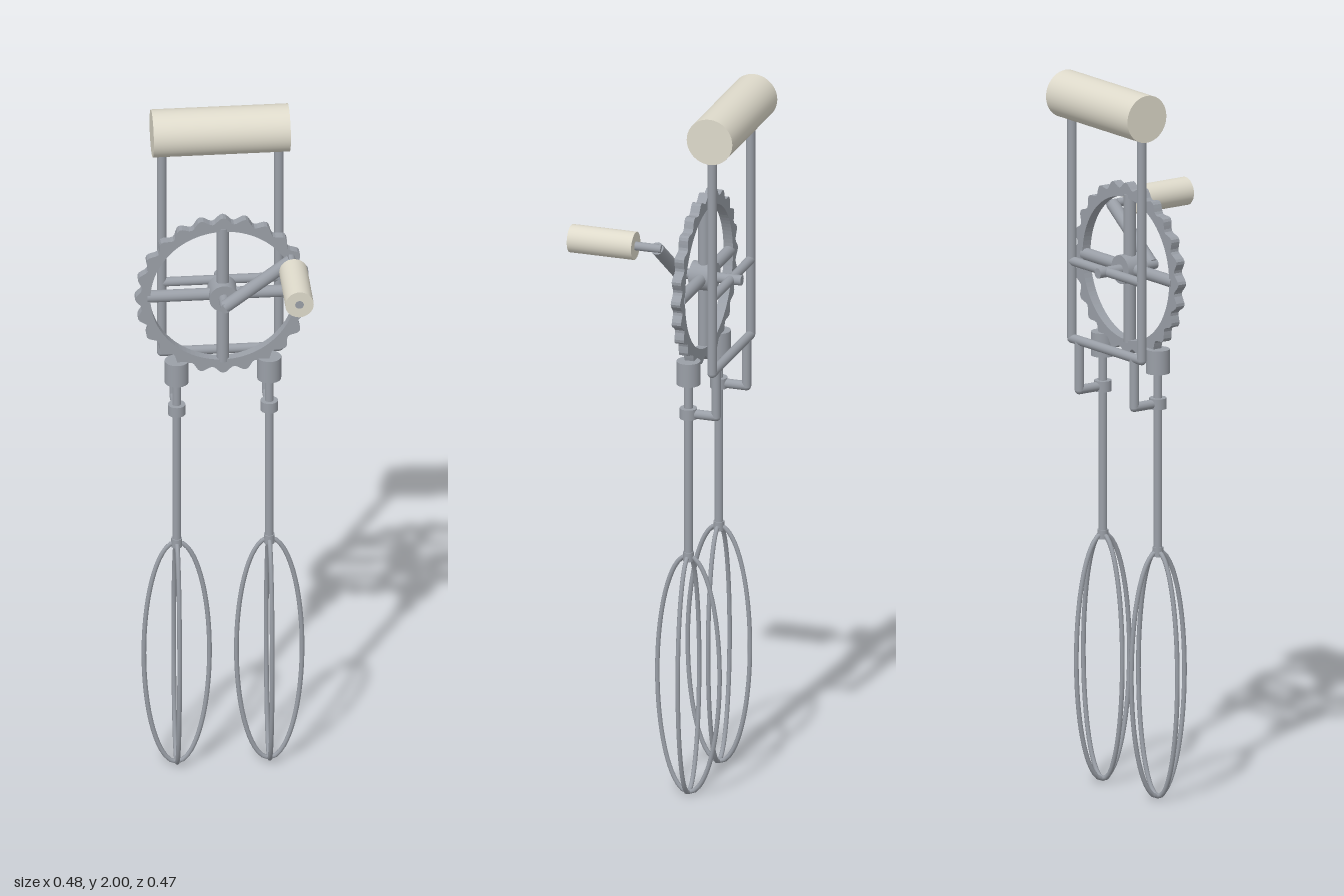
import * as THREE from 'three';

const steel = new THREE.MeshStandardMaterial({ color: 0x9a9fa7 });
steel.name = 'steel';
const cream = new THREE.MeshStandardMaterial({ color: 0xdedacb });
cream.name = 'cream grip';

const FRAME_Z = -0.167, GEAR_Z = -0.089, HUB_Y = 1.468, BEATER_X = 0.127;

// Ellipse in the XY plane, used as the path of a wire loop
class EllipsePath extends THREE.Curve {
  constructor(rx, ry) { super(); this.rx = rx; this.ry = ry; }
  getPoint(t, out = new THREE.Vector3()) {
    const a = t * Math.PI * 2;
    return out.set(this.rx * Math.cos(a), this.ry * Math.sin(a), 0);
  }
}

function add(parent, name, geometry, material = steel) {
  const mesh = new THREE.Mesh(geometry, material);
  mesh.name = name;
  parent.add(mesh);
  return mesh;
}

// Cylinder running from point a to point b
function rod(parent, name, a, b, radius, material = steel, sides = 16) {
  const from = new THREE.Vector3(...a), to = new THREE.Vector3(...b);
  const dir = to.clone().sub(from);
  const mesh = add(parent, name, new THREE.CylinderGeometry(radius, radius, dir.length(), sides), material);
  mesh.position.copy(from).add(to).multiplyScalar(0.5);
  mesh.quaternion.setFromUnitVectors(new THREE.Vector3(0, 1, 0), dir.normalize());
  return mesh;
}

function ball(parent, name, p, radius) {
  add(parent, name, new THREE.SphereGeometry(radius, 16, 10)).position.set(...p);
}

// Scalloped ring with a cross of spokes and a hub
function makeGear() {
  const gear = new THREE.Group();
  gear.name = 'gearWheel';
  gear.position.set(0, HUB_Y, GEAR_Z);
  const teeth = 24, steps = teeth * 8, outline = [];
  for (let i = 0; i < steps; i++) {
    const a = (i / steps) * Math.PI * 2;
    const r = 0.233 + 0.009 * Math.cos(a * teeth);
    outline.push(new THREE.Vector2(r * Math.cos(a), r * Math.sin(a)));
  }
  const shape = new THREE.Shape(outline);
  shape.holes.push(new THREE.Path().absarc(0, 0, 0.2, 0, Math.PI * 2, true));
  const rim = new THREE.ExtrudeGeometry(shape, { depth: 0.027, bevelEnabled: false, curveSegments: 48 });
  rim.translate(0, 0, -0.0135);
  add(gear, 'gearRim', rim);
  rod(gear, 'spokeAcross', [-0.208, 0, 0], [0.208, 0, 0], 0.017);
  rod(gear, 'spokeUpright', [0, -0.208, 0], [0, 0.208, 0], 0.017);
  rod(gear, 'hub', [0, 0, -0.033], [0, 0, 0.033], 0.04, steel, 24);
  return gear;
}

// Shaft with pinion, collar and two crossed wire loops
function makeBeater(side) {
  const beater = new THREE.Group();
  beater.name = side > 0 ? 'leftBeater' : 'rightBeater';
  beater.position.set(side * BEATER_X, 0, GEAR_Z + 0.002);
  rod(beater, 'shaft', [0, 0.69, 0], [0, 1.26, 0], 0.012);
  rod(beater, 'pinion', [0, 1.198, 0], [0, 1.265, 0], 0.033, steel, 24);
  rod(beater, 'collar', [0, 1.098, 0], [0, 1.128, 0], 0.024, steel, 20);
  rod(beater, 'loopJoint', [0, 0.682, 0], [0, 0.708, 0], 0.015);
  for (let i = 0; i < 2; i++) {
    const loop = add(beater, 'wireLoop',
      new THREE.TubeGeometry(new EllipsePath(0.09, 0.345), 80, 0.0065, 8, true));
    loop.position.y = 0.3515;
    loop.rotation.y = i * Math.PI / 2;
  }
  return beater;
}

// Two uprights, cross bars, and hangers that hold the beater shafts
function makeFrame() {
  const frame = new THREE.Group();
  frame.name = 'frame';
  const X = 0.161, z = FRAME_Z, r = 0.013;
  for (const s of [-1, 1]) {
    rod(frame, 'upright', [s * X, 1.25, z], [s * X, 1.92, z], r);
    ball(frame, 'frameCorner', [s * X, 1.25, z], r);
    rod(frame, 'hanger', [s * BEATER_X, 1.11, z], [s * BEATER_X, 1.25, z], r);
    ball(frame, 'hangerElbow', [s * BEATER_X, 1.112, z], r);
    rod(frame, 'hangerArm', [s * BEATER_X, 1.112, z], [s * BEATER_X, 1.112, GEAR_Z], r);
  }
  rod(frame, 'lowerBar', [-X, 1.25, z], [X, 1.25, z], r);
  rod(frame, 'axleBar', [-X, HUB_Y, z], [X, HUB_Y, z], r);
  return frame;
}

// Axle, slanted arm and turning knob
function makeCrank() {
  const crank = new THREE.Group();
  crank.name = 'crank';
  const kx = 0.181, ky = 1.603, z = -0.015;
  rod(crank, 'axle', [0, HUB_Y, -0.198], [0, HUB_Y, -0.002], 0.0145);
  rod(crank, 'crankArm', [0, HUB_Y, z], [kx, ky, z], 0.018);
  rod(crank, 'crankPin', [kx, ky, -0.028], [kx, ky, 0.2335], 0.012);
  rod(crank, 'crankKnob', [kx, ky, 0.047], [kx, ky, 0.233], 0.039, cream, 32);
  return crank;
}

export function createModel() {
  const model = new THREE.Group();
  model.name = 'handMixer';
  rod(model, 'topGrip', [-0.188, 1.934, -0.169], [0.188, 1.934, -0.169], 0.066, cream, 40);
  model.add(makeFrame(), makeGear(), makeCrank(), makeBeater(1), makeBeater(-1));
  return model;
}
